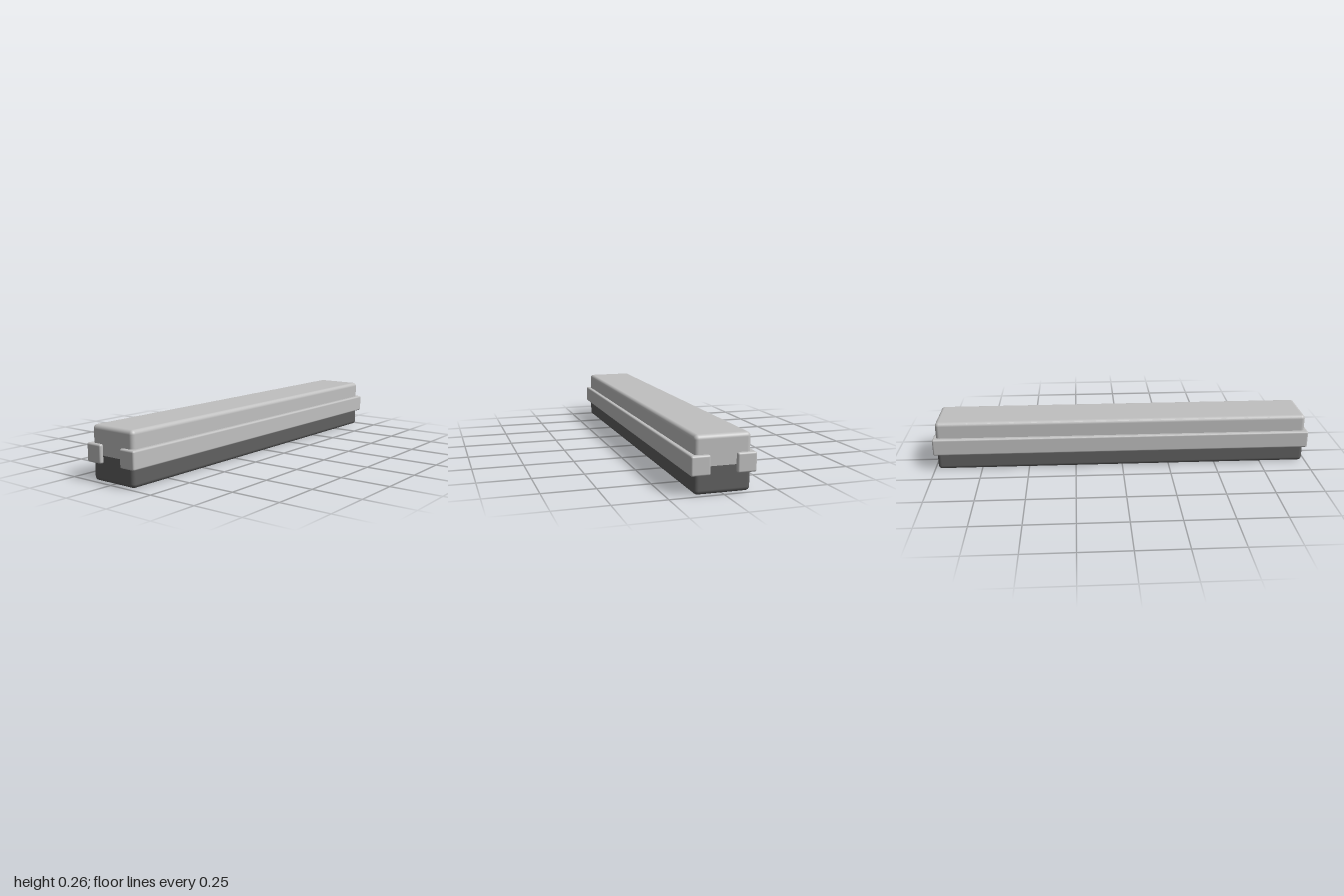
import * as THREE from 'three';
import { RoundedBoxGeometry } from 'three/addons/geometries/RoundedBoxGeometry.js';

const LENGTH = 1.966, DEPTH = 0.262, HEIGHT = 0.263, SEAM = 0.125, RADIUS = 0.02;

// Rounded block from y0 to y1, with the overshoot beyond the seam flattened into a square-edged face
function halfBody(y0, y1, isLower) {
  const height = y1 - y0 + RADIUS;
  const geometry = new RoundedBoxGeometry(LENGTH, height, DEPTH, 4, RADIUS);
  geometry.translate(0, isLower ? y0 + height / 2 : y1 - height / 2, 0);
  const position = geometry.attributes.position;
  for (let i = 0; i < position.count; i++) {
    position.setY(i, THREE.MathUtils.clamp(position.getY(i), y0, y1));
  }
  return geometry;
}

export function createModel() {
  const lightGrey = new THREE.MeshStandardMaterial({ name: 'light grey', color: 0xc0c0c0 });
  const darkGrey = new THREE.MeshStandardMaterial({ name: 'dark grey', color: 0x606060 });
  const group = new THREE.Group();
  group.name = 'bar';

  const add = (name, geometry, material) => {
    const mesh = new THREE.Mesh(geometry, material);
    mesh.name = name;
    group.add(mesh);
    return mesh;
  };

  // Two-tone body
  add('lowerBody', halfBody(0, SEAM, true), darkGrey);
  add('upperBody', halfBody(SEAM, HEIGHT, false), lightGrey);

  // Side rails, slightly longer than the body
  const rail = new RoundedBoxGeometry(2, 0.09, 0.09, 4, 0.009);
  add('frontRail', rail, lightGrey).position.set(0, 0.133, 0.107);
  add('backRail', rail, lightGrey).position.set(0, 0.133, -0.107);

  return group;
}
